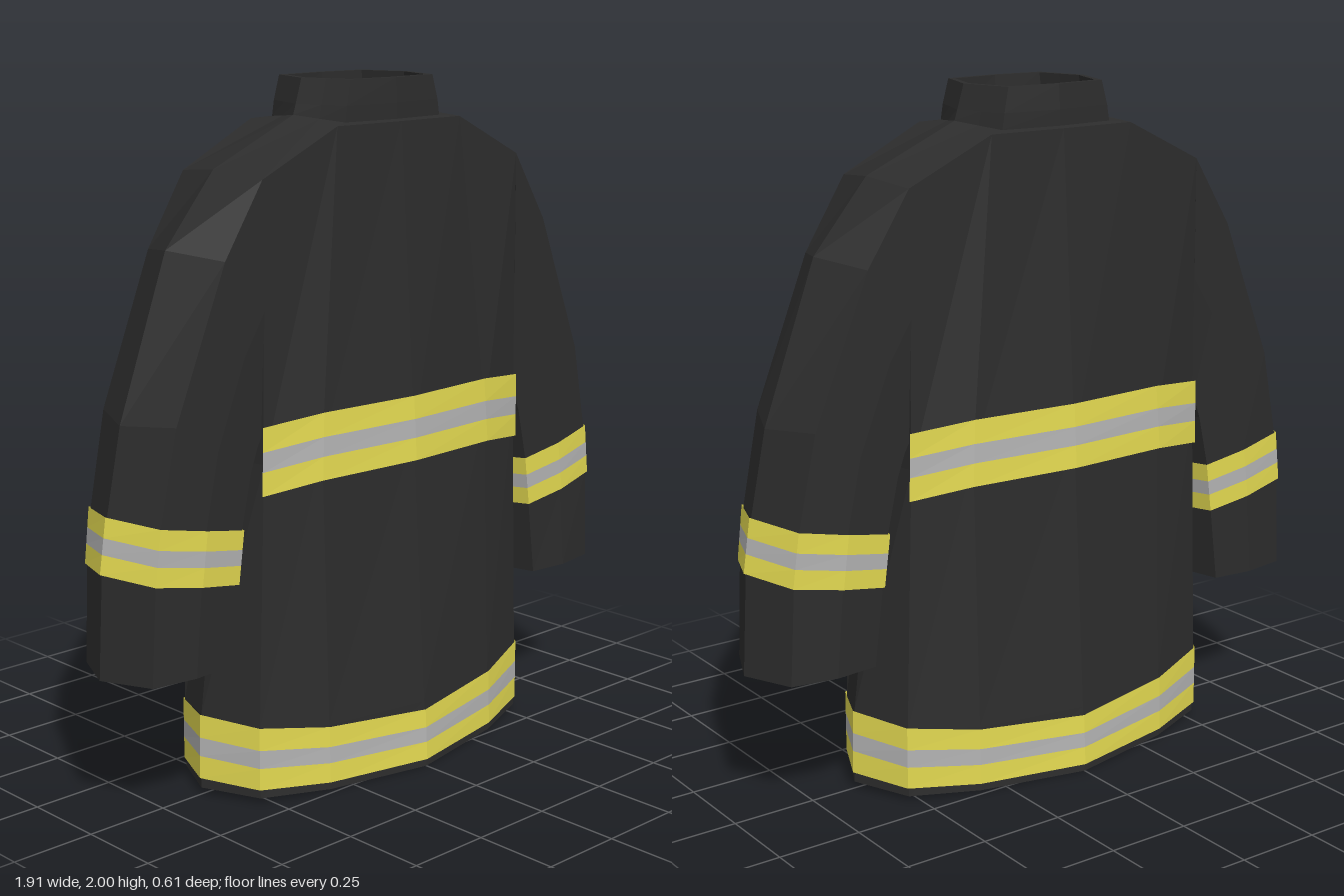
import * as THREE from 'three';

const mat = (color) => new THREE.MeshStandardMaterial({ color, flatShading: true, roughness: 0.9, side: THREE.DoubleSide });
const cloth = mat(0x2c2c2c), yellow = mat(0xe2d850), silver = mat(0xb2b2b2);

const lerp = (a, b, t) => a.map((v, i) => v + (b[i] - v) * t);
const lerpRing = (a, b, t) => a.map((p, i) => lerp(p, b[i], t));
const mirror = (rings) => rings.map((r) => r.map(([x, y, z]) => [-x, y, z]).reverse());

// Skin of quads through rings listed from bottom to top, each running front -> left -> back
function loft(name, rings, material, closed = true) {
  const n = rings[0].length, index = [];
  for (let r = 0; r < rings.length - 1; r++) {
    for (let i = 0; i < (closed ? n : n - 1); i++) {
      const j = (i + 1) % n, a = r * n + i, b = r * n + j;
      index.push(a, b, b + n, a, b + n, a + n);
    }
  }
  const geometry = new THREE.BufferGeometry();
  geometry.setAttribute('position', new THREE.Float32BufferAttribute(rings.flat(2), 3));
  geometry.setIndex(index);
  geometry.computeVertexNormals();
  const mesh = new THREE.Mesh(geometry, material);
  mesh.name = name;
  return mesh;
}

// Yellow, silver, yellow strips between a lower and an upper ring
function stripe(name, low, high, closed = true) {
  const group = new THREE.Group();
  group.name = name;
  const cuts = [0, 0.35, 0.64, 1];
  const parts = ['lowerTrim', 'reflectiveTape', 'upperTrim'];
  parts.forEach((part, k) => group.add(loft(part,
    [lerpRing(low, high, cuts[k]), lerpRing(low, high, cuts[k + 1])], k === 1 ? silver : yellow, closed)));
  return group;
}

// Quarter outline (front centre to side) -> full ring of 12 points
function fullRing(q) {
  const back = q.slice(0, 3).reverse().map(([x, y, z]) => [x, y, -z]);
  const half = [...q, ...back];
  const other = half.slice(1, -1).reverse().map(([x, y, z]) => [-x, y, z]);
  return [...half, ...other];
}

// Torso levels as quarter outlines
const hem = [[0, 0, 0.3], [0.33, 0.006, 0.24], [0.53, 0.014, 0.165], [0.61, 0.02, 0]];
const levels = [
  hem,
  [[0, 0.2, 0.289], [0.33, 0.2, 0.235], [0.53, 0.22, 0.165], [0.605, 0.24, 0]],
  [[0, 1.0, 0.24], [0.33, 1.0, 0.21], [0.505, 0.98, 0.165], [0.51, 0.97, 0]],
  [[0, 1.88, 0.183], [0.24, 1.88, 0.178], [0.5, 1.755, 0.165], [0.53, 1.772, 0]],
];

// Outline on the torso at a given height per column, pushed slightly outward
function torsoOutline(heights, push) {
  return heights.map((y, c) => {
    let k = 0;
    while (k < levels.length - 2 && y > levels[k + 1][c][1]) k++;
    const a = levels[k][c], b = levels[k + 1][c];
    const p = lerp(a, b, (y - a[1]) / (b[1] - a[1]));
    return [p[0] * (1 + push), p[1], p[2] * (1 + push * 2)];
  });
}

// Sleeve ring from shoulder ridge, front bevel edge, underarm point and depth
function sleeveRing([ox, oy, ex, ey, ix, iy, d]) {
  const edge = [ex, ey, d], inner = [ix, iy, d];
  const mid = lerp(edge, inner, 0.45), under = lerp(edge, inner, 0.88);
  mid[2] = 0.168;
  under[2] = 0.155;
  const back = ([x, y, z]) => [x, y, -z];
  return [mid, edge, [ox, oy, 0], back(edge), back(mid), back(under), [ix, iy, 0], under];
}

function swell(ring, s) {
  const c = ring.reduce((m, p) => m.map((v, i) => v + p[i] / ring.length), [0, 0, 0]);
  return ring.map(([x, y, z]) => [c[0] + (x - c[0]) * s, y, c[2] + (z - c[2]) * s]);
}

export function createModel() {
  const jacket = new THREE.Group();
  jacket.name = 'jacket';

  // Torso: hem lip, body panels, sloping shoulders up to the neck
  const lip = hem.map(([x, y, z]) => [x * 0.965, y + 0.03, z * 0.94]);
  const neck = [[0, 1.885, 0.165], [0.185, 1.885, 0.15], [0.212, 1.892, 0.075], [0.24, 1.9, 0]];
  jacket.add(loft('torso', [lip, ...levels, neck].map(fullRing), cloth));

  // Standing collar with thickness and a closed floor
  const collarRing = (sx, sz, y) => fullRing(neck.map(([x, , z]) => [x * sx, y, z * sz]));
  jacket.add(loft('collar', [
    fullRing(neck), collarRing(0.96, 1, 1.93), collarRing(0.87, 0.97, 2),
    collarRing(0.8, 0.87, 2), collarRing(0.87, 0.87, 1.9), collarRing(0, 0, 1.9),
  ], cloth));

  // Hem stripe all the way round
  jacket.add(stripe('hemStripe',
    fullRing(torsoOutline([0.022, 0.028, 0.04, 0.05], 0.008)),
    fullRing(torsoOutline([0.175, 0.195, 0.225, 0.24], 0.008))));

  // Chest stripes on front and back, stopping at the sleeves
  const chestLow = fullRing(torsoOutline([0.92, 0.915, 0.892, 0.89], 0.014));
  const chestHigh = fullRing(torsoOutline([1.107, 1.105, 1.085, 1.08], 0.014));
  const frontPart = (r) => [10, 11, 0, 1, 2].map((i) => r[i]);
  const backPart = (r) => [4, 5, 6, 7, 8].map((i) => r[i]);
  jacket.add(stripe('chestStripe', frontPart(chestLow), frontPart(chestHigh), false));
  jacket.add(stripe('backStripe', backPart(chestLow), backPart(chestHigh), false));

  // Sleeves from cuff to shoulder
  const rings = [
    [0.955, 0.43, 0.89, 0.43, 0.59, 0.43, 0.147],
    [0.938, 0.725, 0.875, 0.71, 0.56, 0.65, 0.15],
    [0.915, 0.88, 0.855, 0.866, 0.54, 0.8, 0.153],
    [0.865, 1.12, 0.8, 1.13, 0.508, 0.94, 0.157],
    [0.7, 1.57, 0.63, 1.55, 0.503, 0.96, 0.162],
    [0.53, 1.772, 0.5, 1.755, 0.5, 0.97, 0.165],
  ].map(sleeveRing);
  const cuffCap = rings[0].map(() => [0.77, 0.43, 0]);
  const sleeve = [cuffCap, ...rings];
  const band = [swell(rings[1], 1.03), swell(rings[2], 1.03)];

  for (const [side, flip] of [['left', (r) => r], ['right', mirror]]) {
    jacket.add(loft(side + 'Sleeve', flip(sleeve), cloth));
    jacket.add(stripe(side + 'SleeveStripe', ...flip(band)));
  }
  return jacket;
}
